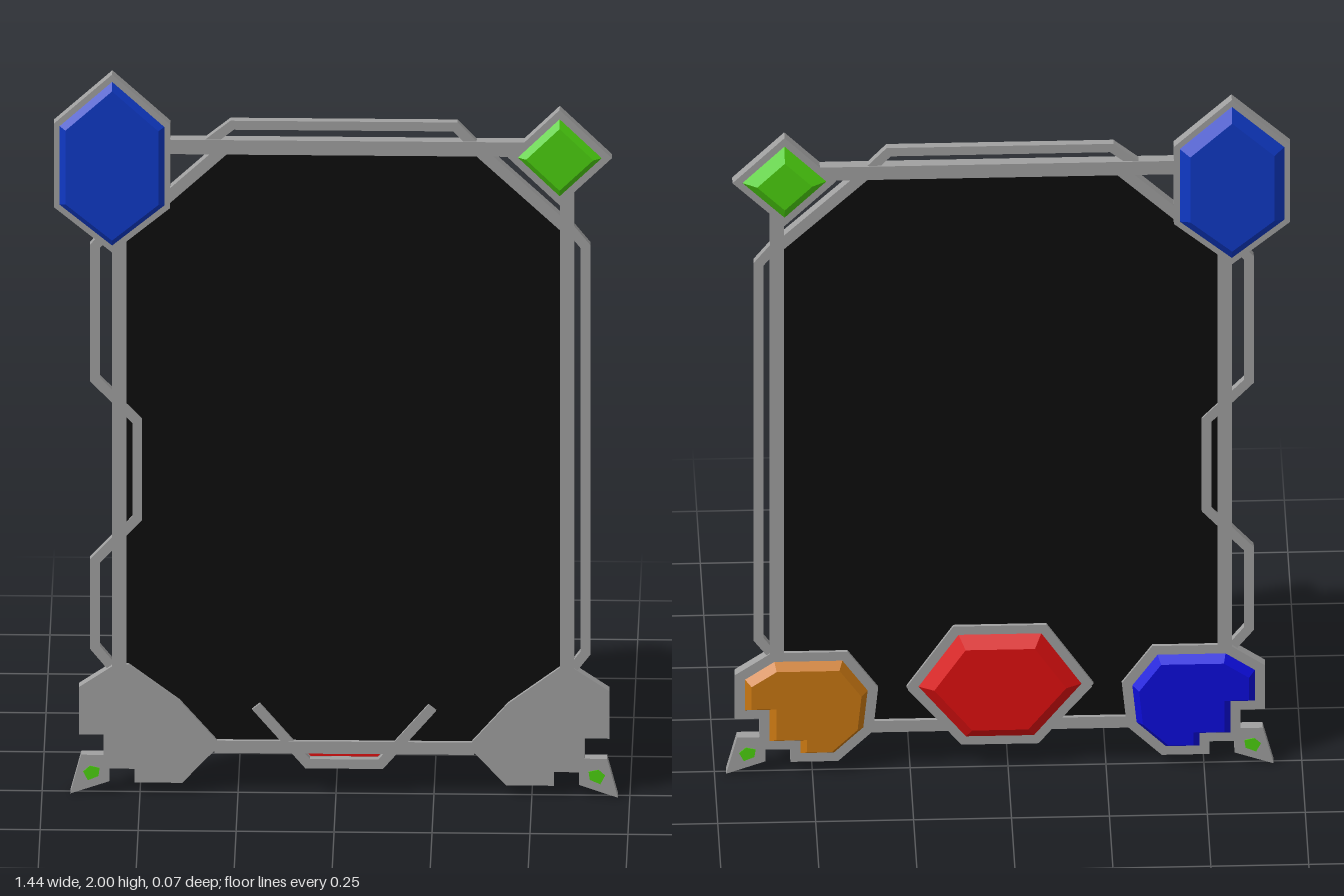
import * as THREE from 'three';

const mat = (name, color) => { const m = new THREE.MeshStandardMaterial({ color }); m.name = name; return m; };
const BACK = -0.012, FRONT = 0.016, AXIS = 0.042;

export function createModel() {
  const group = new THREE.Group();
  const grey = mat('grey metal', 0xa0a0a0), black = mat('black panel', 0x0d0d0d);
  const blue = mat('blue gem', 0x0f39c6), green = mat('green gem', 0x4cd010);
  const orange = mat('orange gem', 0xc87712), red = mat('red gem', 0xe01010);
  const navy = mat('deep blue gem', 0x0c0cdc);

  const add = (name, geo, material) => {
    const m = new THREE.Mesh(geo, material);
    m.name = name;
    group.add(m);
  };
  const vecs = (pts) => pts.map(([x, y]) => new THREE.Vector2(x, y));
  const mirror = (pts) => pts.map(([x, y]) => [AXIS - x, y]).reverse();

  // Mitred offset to the left of a path; inward for a counter-clockwise loop
  const offset = (pts, d, closed) => pts.map((p, i) => {
    const n = pts.length;
    const normal = (a, b) => {
      const dx = b[0] - a[0], dy = b[1] - a[1], l = Math.hypot(dx, dy);
      return [-dy / l, dx / l];
    };
    let n1 = (closed || i > 0) ? normal(pts[(i + n - 1) % n], p) : null;
    let n2 = (closed || i < n - 1) ? normal(p, pts[(i + 1) % n]) : n1;
    n1 = n1 || n2;
    const k = d / (1 + n1[0] * n2[0] + n1[1] * n2[1]);
    return [p[0] + (n1[0] + n2[0]) * k, p[1] + (n1[1] + n2[1]) * k];
  });

  // Flat plate, optionally with a rim-only opening
  const plate = (name, pts, z0, z1, material = grey, rim = 0) => {
    const shape = new THREE.Shape(vecs(pts));
    if (rim) shape.holes.push(new THREE.Path(vecs(offset(pts, rim, true))));
    const geo = new THREE.ExtrudeGeometry(shape, { depth: z1 - z0, bevelEnabled: false });
    geo.translate(0, 0, z0);
    add(name, geo, material);
  };

  // Bar of constant width along a path
  const bar = (name, pts, width, z0 = BACK, z1 = FRONT) =>
    plate(name, [...offset(pts, -width / 2), ...offset(pts, width / 2).reverse()], z0, z1);

  // Bevelled gem face rising from z0 to z1 over a counter-clockwise outline
  const gem = (name, base, bevel, z0, z1, material) => {
    const top = offset(base, bevel, true), pos = [];
    const tri = (a, b, c) => pos.push(...a, ...(z1 > z0 ? [...b, ...c] : [...c, ...b]));
    base.forEach((p, i) => {
      const j = (i + 1) % base.length;
      const a = [...p, z0], b = [...base[j], z0], c = [...top[j], z1], d = [...top[i], z1];
      tri(a, b, c);
      tri(a, c, d);
    });
    THREE.ShapeUtils.triangulateShape(vecs(top), []).forEach((f) => tri(...f.map((i) => [...top[i], z1])));
    const geo = new THREE.BufferGeometry();
    geo.setAttribute('position', new THREE.Float32BufferAttribute(pos, 3));
    geo.computeVertexNormals();
    add(name, geo, material);
  };

  // Dark panel with cut corners
  plate('panel', [[-0.3, 0.135], [0.342, 0.135], [0.44, 0.25], [0.58, 0.36], [0.58, 1.59], [0.375, 1.79],
    [-0.29, 1.79], [-0.545, 1.55], [-0.545, 0.36], [-0.4, 0.25]], -0.002, 0.006, black);

  // Main frame bars
  bar('leftBar', [[-0.553, 0.34], [-0.553, 1.6]], 0.036);
  bar('rightBar', [[0.59, 0.34], [0.59, 1.7]], 0.036);
  bar('topBar', [[-0.45, 1.8], [0.5, 1.8]], 0.04);
  bar('bottomBar', [[-0.31, 0.133], [0.352, 0.133]], 0.034);
  bar('cornerBraceRight', [[0.365, 1.795], [0.59, 1.58]], 0.03);
  bar('cornerBraceLeft', [[-0.55, 1.545], [-0.285, 1.795]], 0.03);

  // Thin outer trims
  bar('topTrim', [[-0.35, 1.79], [-0.265, 1.86], [0.305, 1.86], [0.37, 1.79]], 0.025, -0.008, 0.012);
  bar('rightTrim', [[0.59, 1.59], [0.637, 1.53], [0.637, 0.4], [0.6, 0.35]], 0.025, -0.008, 0.012);
  bar('leftTrim', [[-0.575, 1.57], [-0.615, 1.52], [-0.615, 1.15], [-0.507, 1.035], [-0.507, 0.765],
    [-0.615, 0.645], [-0.615, 0.405], [-0.575, 0.355]], 0.025, -0.008, 0.012);

  // Upper gems, set on both faces of their plates
  const hex = [[-0.571, 1.505], [-0.423, 1.63], [-0.423, 1.862], [-0.571, 2], [-0.72, 1.862], [-0.72, 1.63]];
  const diamond = [[0.571, 1.646], [0.704, 1.778], [0.571, 1.911], [0.439, 1.778]];
  [['hexGem', hex, blue, 0.015], ['diamondGem', diamond, green, 0.018]].forEach(([name, pts, material, rim]) => {
    plate(name + 'Plate', pts, BACK, FRONT);
    gem(name + 'Front', offset(pts, rim, true), 0.015, FRONT, 0.03, material);
    gem(name + 'Back', offset(pts, rim, true), 0.026, BACK, -0.036, material);
  });

  // Lower corners: stepped plate, gem on the back and small pointed foot
  const steps = [[0.434, 0.032], [0.556, 0.032], [0.556, 0.07], [0.635, 0.07], [0.635, 0.164],
    [0.698, 0.164], [0.698, 0.296], [0.605, 0.36]];
  const frontCorner = [[0.355, 0.12], ...steps, [0.571, 0.36], [0.44, 0.26], [0.344, 0.148]];
  const backCorner = [[0.345, 0.12], ...steps, [0.41, 0.36], [0.332, 0.25]];
  const foot = [[0.62, 0.035], [0.72, 0], [0.692, 0.108], [0.62, 0.108]];
  const dot = [[0.648, 0.05], [0.675, 0.038], [0.687, 0.062], [0.67, 0.078], [0.645, 0.072]];
  [['left', (p) => p, orange], ['right', mirror, navy]].forEach(([side, place, material]) => {
    plate(side + 'CornerFront', place(frontCorner), -0.004, FRONT);
    plate(side + 'CornerBack', place(backCorner), BACK, -0.003);
    gem(side + 'CornerGem', offset(place(backCorner), 0.026, true), 0.016, BACK, -0.036, material);
    plate(side + 'Foot', place(foot), BACK, FRONT);
    plate(side + 'FootDot', place(dot), FRONT, FRONT + 0.002, green);
    plate(side + 'FootDotBack', place(dot), BACK - 0.002, BACK, green);
  });

  // Lower middle gem behind the panel, held by a hexagonal rim
  const mid = [[-0.078, 0.074], [0.12, 0.074], [0.26, 0.25], [0.14, 0.43], [-0.098, 0.43], [-0.218, 0.25]];
  plate('middleRim', mid, BACK, -0.003, grey, 0.027);
  const midInner = offset(mid, 0.025, true);
  gem('middleGemBack', midInner, 0.032, BACK, -0.036, red);
  gem('middleGemFront', midInner, 0.002, BACK, -0.004, red);

  // Rim arms that come forward across the panel edge
  bar('middleRimFront', [[-0.204, 0.245], [-0.072, 0.087], [0.114, 0.087], [0.246, 0.245]], 0.026, -0.005, 0.014);

  return group;
}
